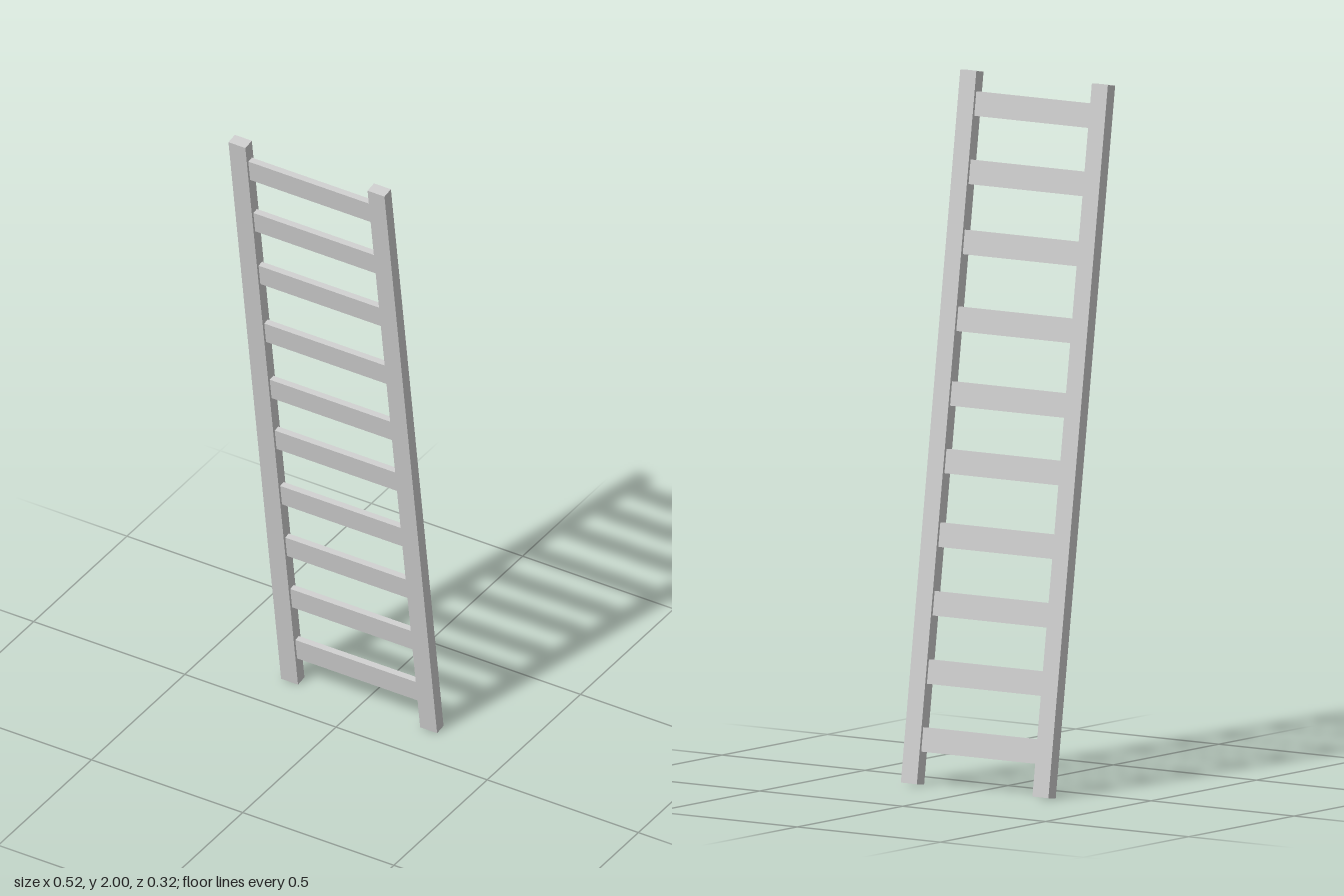
import * as THREE from 'three';

export function createModel() {
  const model = new THREE.Group();
  model.name = 'ladder';
  const material = new THREE.MeshStandardMaterial({ color: 0xcccccc, flatShading: true });

  const lean = Math.asin(0.14); // the top tips towards the front
  const railLength = 2.015, railWidth = 0.056, railDepth = 0.035, railX = 0.23;
  const rungHeight = 0.069, rungDepth = 0.019;

  // Everything is built upright around its middle, then leaned as one
  const frame = new THREE.Group();
  frame.name = 'leaningFrame';
  frame.rotation.x = lean;
  frame.position.y = 1;
  model.add(frame);

  const addBox = (name, w, h, d, x, y) => {
    const mesh = new THREE.Mesh(new THREE.BoxGeometry(w, h, d), material);
    mesh.name = name;
    mesh.position.set(x, y, 0);
    frame.add(mesh);
  };

  // Side rails
  addBox('leftRail', railWidth, railLength, railDepth, railX, 0);
  addBox('rightRail', railWidth, railLength, railDepth, -railX, 0);

  // Flat rungs at slightly uneven heights above the ground
  const rungHeights = [0.128, 0.318, 0.509, 0.701, 0.907, 1.096, 1.305, 1.52, 1.716, 1.907];
  rungHeights.forEach((y, i) => {
    addBox(`rung${i + 1}`, 2 * railX - railWidth, rungHeight, rungDepth, 0, (y - 1) / Math.cos(lean));
  });

  return model;
}
